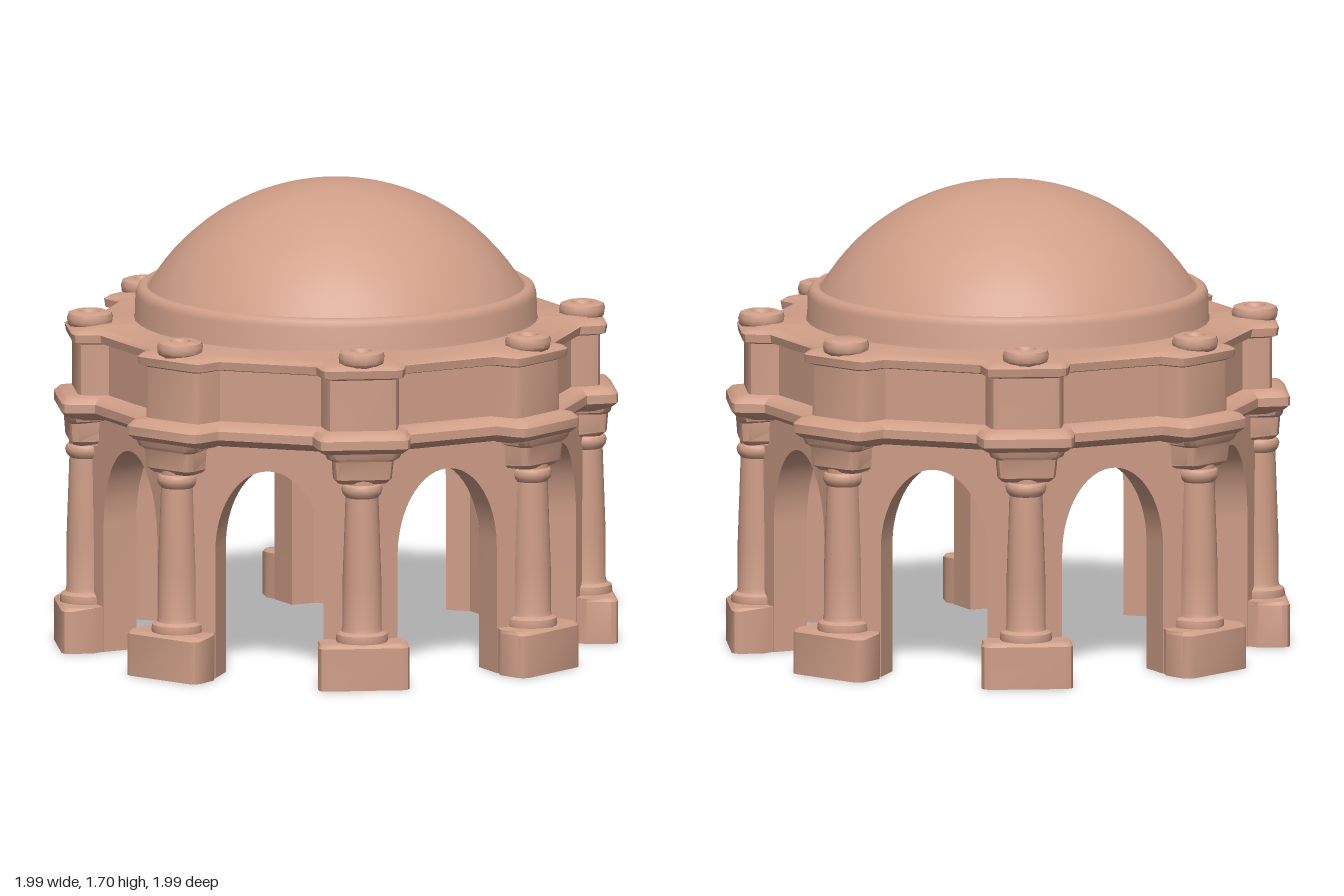
import * as THREE from 'three';
import { toCreasedNormals } from 'three/addons/utils/BufferGeometryUtils.js';

const TAN = Math.tan(Math.PI / 8), SIN = Math.sin(Math.PI / 8), COS = Math.cos(Math.PI / 8);
const CORNERS = Array.from({ length: 8 }, (_, k) => (k + 0.5) * Math.PI / 4);

// Joins rings of points (counterclockwise from above, bottom to top), with optional end caps.
function loft(rings, capBottom, capTop) {
  const pos = [], n = rings[0].length;
  const tri = (...ps) => ps.forEach(p => pos.push(p.x, p.y, p.z));
  const centre = ring => ring.reduce((s, p) => s.add(p), new THREE.Vector3()).divideScalar(n);
  const first = rings[0], last = rings[rings.length - 1];
  for (let j = 0; j < n; j++) {
    const k = (j + 1) % n;
    for (let i = 0; i < rings.length - 1; i++) {
      const a = rings[i], b = rings[i + 1];
      tri(a[j], a[k], b[k]);
      tri(a[j], b[k], b[j]);
    }
    if (capBottom) tri(centre(first), first[k], first[j]);
    if (capTop) tri(centre(last), last[j], last[k]);
  }
  const geo = new THREE.BufferGeometry();
  geo.setAttribute('position', new THREE.Float32BufferAttribute(pos, 3));
  return toCreasedNormals(geo, 0.7);
}

// Point at radius r and sideways offset t from the direction of a corner.
const place = (angle, y, r, t) => new THREE.Vector3(
  r * Math.sin(angle) + t * Math.cos(angle), y, r * Math.cos(angle) - t * Math.sin(angle));

// Half outline of a projecting block: rounded outer corner, listed from the back outwards.
function blockPoints(back, r, w, c = 0.03) {
  const half = [...back, [r - c, w], [r - c * 0.3, w - c * 0.3], [r, w - c]];
  return [...half.map(([a, t]) => [a, -t]), ...half.reverse()];
}

// Octagon of a given apothem with a block projecting at each corner.
function octagonRing([y, apothem, r, w]) {
  const wide = w + 0.012;
  const pts = blockPoints([[(apothem - wide * SIN) / COS, wide]], r, w);
  return CORNERS.flatMap(a => pts.map(([pr, t]) => place(a, y, pr, t)));
}

// Wall bay with an arched opening, mitred to meet its neighbours.
function wallBay(inner, outer, top) {
  const half = outer * TAN, w = 0.205, spring = 0.47, crown = 0.775;
  const s = new THREE.Shape();
  s.moveTo(-half, 0);
  s.lineTo(-w, 0);
  s.lineTo(-w, spring);
  s.absellipse(0, spring, w, crown - spring, Math.PI, 0, true);
  s.lineTo(w, 0);
  s.lineTo(half, 0);
  s.lineTo(half, top);
  s.lineTo(-half, top);
  const geo = new THREE.ExtrudeGeometry(s, { depth: outer - inner, bevelEnabled: false, curveSegments: 20 });
  geo.translate(0, 0, inner);
  const p = geo.attributes.position;
  for (let i = 0; i < p.count; i++) {
    if (Math.abs(p.getX(i)) > 0.25) p.setX(i, Math.sign(p.getX(i)) * p.getZ(i) * TAN);
  }
  return toCreasedNormals(geo, 0.6);
}

function lathe(points, segments) {
  const geo = new THREE.LatheGeometry(points.map(([r, y]) => new THREE.Vector2(r, y)), segments);
  return toCreasedNormals(geo, 0.7);
}

export function createModel() {
  const model = new THREE.Group();
  model.name = 'domedPavilion';
  const stone = new THREE.MeshStandardMaterial({ color: 0xd09f88 });
  stone.name = 'terracotta stone';
  const add = (name, geo) => {
    const mesh = new THREE.Mesh(geo, stone);
    mesh.name = name;
    model.add(mesh);
    return mesh;
  };

  // Arcade
  const bay = wallBay(0.715, 0.85, 0.92);
  for (let k = 0; k < 8; k++) add('archedWall', bay).rotation.y = k * Math.PI / 4;

  // Entablature: rows are y, wall apothem, block radius, block half width
  const band = (name, rows, bottom, top) => add(name, loft(rows.map(octagonRing), bottom, top));
  band('ledge', [
    [0.855, 0.84, 0.965, 0.125], [0.872, 0.88, 1.0, 0.152], [0.89, 0.9, 1.018, 0.168],
    [0.922, 0.9, 1.018, 0.168], [0.942, 0.88, 1.0, 0.152], [0.95, 0.83, 0.95, 0.125],
  ], false, false);
  band('atticWall', [[0.9, 0.835, 0.955, 0.13], [1.16, 0.835, 0.955, 0.13]], true, false);
  band('roofCornice', [
    [1.135, 0.83, 0.95, 0.125], [1.145, 0.87, 0.975, 0.15], [1.175, 0.875, 0.98, 0.152],
    [1.187, 0.86, 0.965, 0.14], [1.19, 0.835, 0.945, 0.125], [1.2, 0.76, 0.87, 0.1],
  ], false, true);

  // Drum and dome
  add('domeDrum', lathe([
    [0.74, 1.185], [0.732, 1.21], [0.73, 1.29], [0.722, 1.312], [0.71, 1.32], [0.69, 1.32], [0.675, 1.305],
  ], 48));
  const R = 0.793, sweep = Math.asin(0.685 / R);
  add('dome', new THREE.SphereGeometry(R, 48, 16, 0, Math.PI * 2, 0, sweep)).position.y = 1.705 - R;

  // Parts repeated at each corner
  const shaft = lathe([
    [0.092, 0.16], [0.095, 0.175], [0.092, 0.195], [0.075, 0.205], [0.071, 0.22], [0.071, 0.38],
    [0.06, 0.7], [0.07, 0.712], [0.075, 0.73], [0.07, 0.745], [0.062, 0.75], [0.062, 0.78],
  ], 20);
  const knobSide = [[0.07, 1.18], [0.083, 1.195], [0.086, 1.215], [0.08, 1.232], [0.06, 1.24]];
  const pitted = lathe([...knobSide, [0.04, 1.238], [0.03, 1.218], [0, 1.212]], 12);
  const plain = lathe([...knobSide, [0, 1.242]], 12);

  const blockRing = (angle, y, back, r, w) =>
    blockPoints(back, r, w).map(([pr, t]) => place(angle, y, pr, t));

  CORNERS.forEach((angle, k) => {
    // Plinth
    const foot = [[0.8, 0.1], [0.87, 0.135], [0.9, 0.16]];
    add('plinth', loft([
      blockRing(angle, 0, foot, 1.018, 0.167),
      blockRing(angle, 0.155, foot, 1.018, 0.167),
      blockRing(angle, 0.167, foot, 1.006, 0.157),
    ], true, true));

    // Column
    add('column', shaft).position.copy(place(angle, 0, 0.915, 0));

    // Capital
    const cap = [[0.8, 0.1]];
    add('capital', loft([
      [0.755, 0.965, 0.09], [0.772, 0.982, 0.105], [0.84, 0.987, 0.112],
      [0.85, 0.993, 0.132], [0.88, 1.0, 0.145],
    ].map(([y, r, w]) => blockRing(angle, y, cap, r, w)), true, true));

    // Roof knob
    add('roofKnob', k === 3 ? plain : pitted).position.copy(place(angle, 0, 0.9, 0));
  });

  return model;
}
